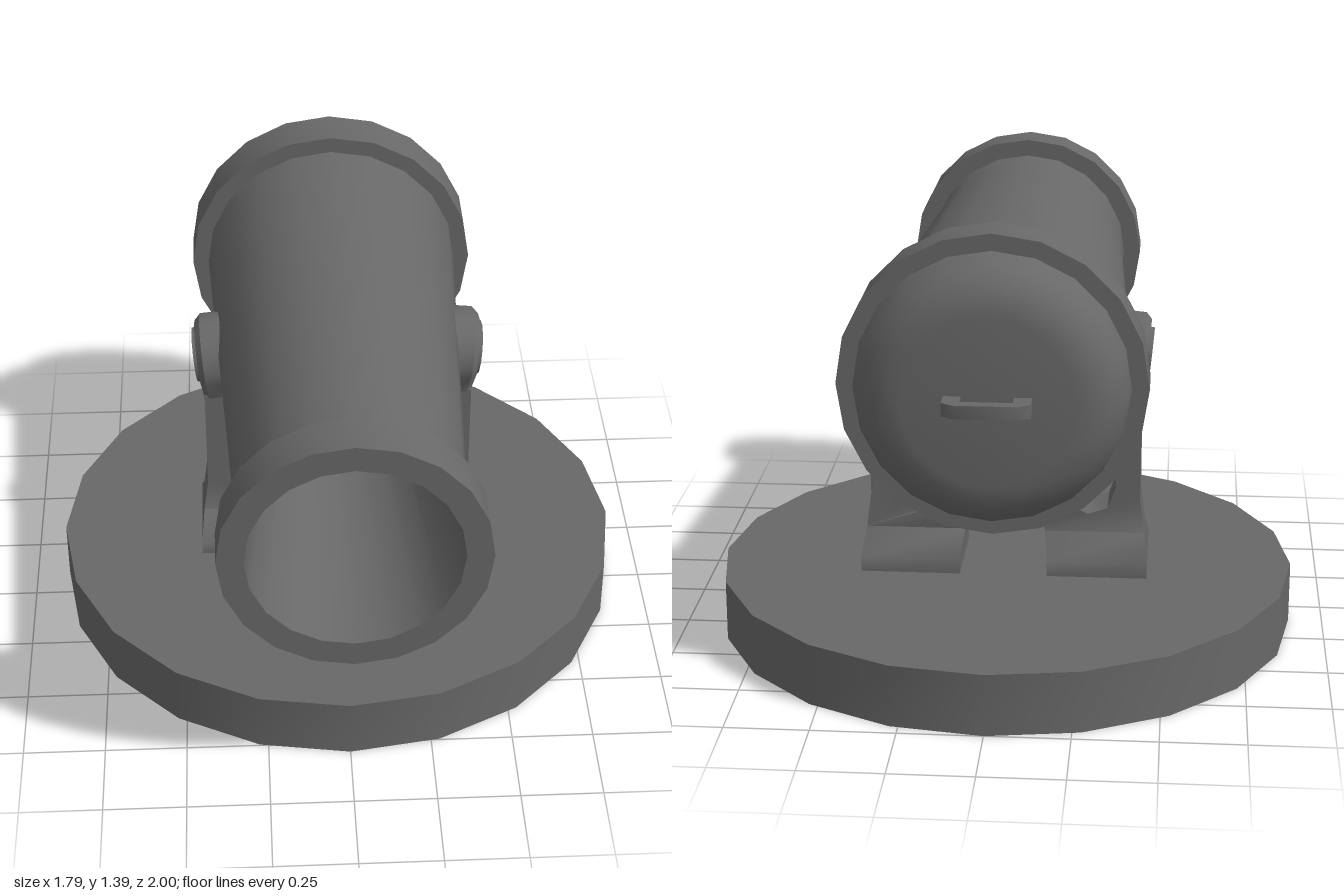
import * as THREE from 'three';
import { mergeGeometries, toCreasedNormals } from 'three/addons/utils/BufferGeometryUtils.js';

const material = new THREE.MeshStandardMaterial({ color: 0x686868 });
const AXIS_Y = 0.94; // height of the barrel axis
const PIVOT_Z = -0.105; // centre of base and mount
const SIDES = 20;

function part(name, geometry, parent, crease = 0.6) {
  const mesh = new THREE.Mesh(toCreasedNormals(geometry, crease), material);
  mesh.name = name;
  parent.add(mesh);
}

function extrude(points, depth, bevel = 0) {
  const shape = new THREE.Shape(points.map(([x, y]) => new THREE.Vector2(x, y)));
  return new THREE.ExtrudeGeometry(shape, {
    depth, bevelEnabled: bevel > 0, bevelSize: bevel, bevelOffset: -bevel,
    bevelThickness: bevel, bevelSegments: 1,
  });
}

// Moves every vertex of a geometry by a rule
function reshape(geometry, rule) {
  const position = geometry.attributes.position;
  const v = new THREE.Vector3();
  for (let i = 0; i < position.count; i++) {
    rule(v.fromBufferAttribute(position, i));
    position.setXYZ(i, v.x, v.y, v.z);
  }
  return geometry;
}

// Foot of the yoke: a block that narrows above its plinth
function footGeometry(side) {
  const box = new THREE.BoxGeometry(0.31, 0.12, 0.31, 1, 2, 1).toNonIndexed();
  return reshape(box, (v) => {
    if (v.y > 0.03) {
      v.x -= side * 0.01;
      v.z *= 0.075 / 0.155;
    } else if (v.y > -0.03) v.y = -0.015;
  }).translate(side * 0.29, 0.25, 0);
}

export function createModel() {
  const model = new THREE.Group();
  model.name = 'cannon';

  // Round base
  part('base', new THREE.CylinderGeometry(0.895, 0.895, 0.19, SIDES).translate(0, 0.095, PIVOT_Z), model);

  // Barrel: rounded breech, two bands, tapered body and conical bore in one profile (radius, z)
  const breech = [[0, -0.83]];
  for (let i = 6; i >= 0; i--) {
    const a = (i / 6) * Math.PI / 2;
    breech.push([0.25 + 0.15 * Math.cos(a), -0.675 - 0.155 * Math.sin(a)]);
  }
  const profile = [
    ...breech,
    [0.45, -0.675], [0.45, -0.535], [0.4, -0.535], // rear band
    [0.333, 0.73], [0.333, 0.865], // body
    [0.387, 0.865], [0.387, 1], // muzzle band
    [0.309, 1], [0.135, -0.6], [0, -0.6], // bore
  ].map(([r, z]) => new THREE.Vector2(r, z));
  part('barrel', new THREE.LatheGeometry(profile, SIDES).rotateX(Math.PI / 2).translate(0, AXIS_Y, 0), model);

  // Handle on the breech
  const handle = [
    [0.075, -0.82], [0.125, -0.82], [0.125, -0.89], [0.09, -0.913],
    [-0.09, -0.913], [-0.125, -0.89], [-0.125, -0.82], [-0.075, -0.82],
    [-0.075, -0.877], [0.075, -0.877],
  ];
  part('handle', extrude(handle, 0.04).rotateX(Math.PI / 2).translate(0, 0.96, 0), model);

  // Mount
  const mount = new THREE.Group();
  mount.name = 'mount';
  mount.position.z = PIVOT_Z;
  model.add(mount);

  // Arched yoke with two arms, standing on flared feet
  const half = [
    [0.07, 0.43], [0.115, 0.36], [0.125, 0.31], [0.435, 0.31], [0.42, 0.42], [0.42, 0.76],
    [0.345, 0.76], [0.345, 0.46], [0.32, 0.39], [0.26, 0.37], [0.21, 0.39], [0.18, 0.45], [0.13, 0.515],
  ];
  const mirror = half.map(([x, y]) => [-x, y]).reverse();
  const frame = extrude([[0, 0.45], ...half, [0, 0.555], ...mirror], 0.15).translate(0, 0, -0.075);
  reshape(frame, (v) => {
    if (Math.abs(v.x) < 0.2 && v.y > 0.32) v.z *= 1.1; // the arch is a little thicker
  });
  part('yoke', mergeGeometries([frame, footGeometry(1), footGeometry(-1)]), mount, 0.9);

  // Trunnion eye with a tapered neck, (z, y) from the top of the arm
  const eye = [];
  for (let i = 0; i <= 12; i++) {
    const a = -0.25 + (i / 12) * (Math.PI + 0.5);
    eye.push([0.13 * Math.cos(a), 0.14 + 0.13 * Math.sin(a)]);
  }
  eye.push([-0.074, 0.02], [-0.074, -0.13], [0.074, -0.13], [0.074, 0.02]);

  // Trunnions lean outward on top of the arms
  for (const [side, turn] of [['left', 0], ['right', Math.PI]]) {
    const support = new THREE.Group();
    support.name = side + 'Trunnion';
    support.rotation.y = turn;
    mount.add(support);
    const lean = new THREE.Group();
    lean.name = side + 'TrunnionHead';
    lean.position.set(0.42, 0.73, 0);
    lean.rotation.z = -0.1;
    support.add(lean);
    part('eye', extrude(eye, 0.064, 0.018).rotateY(Math.PI / 2).translate(-0.082, 0, 0), lean);
    part('pivotPin', new THREE.CylinderGeometry(0.086, 0.086, 0.1, 12)
      .rotateZ(-Math.PI / 2).translate(-0.038, 0.143, 0), lean);
  }
  return model;
}
